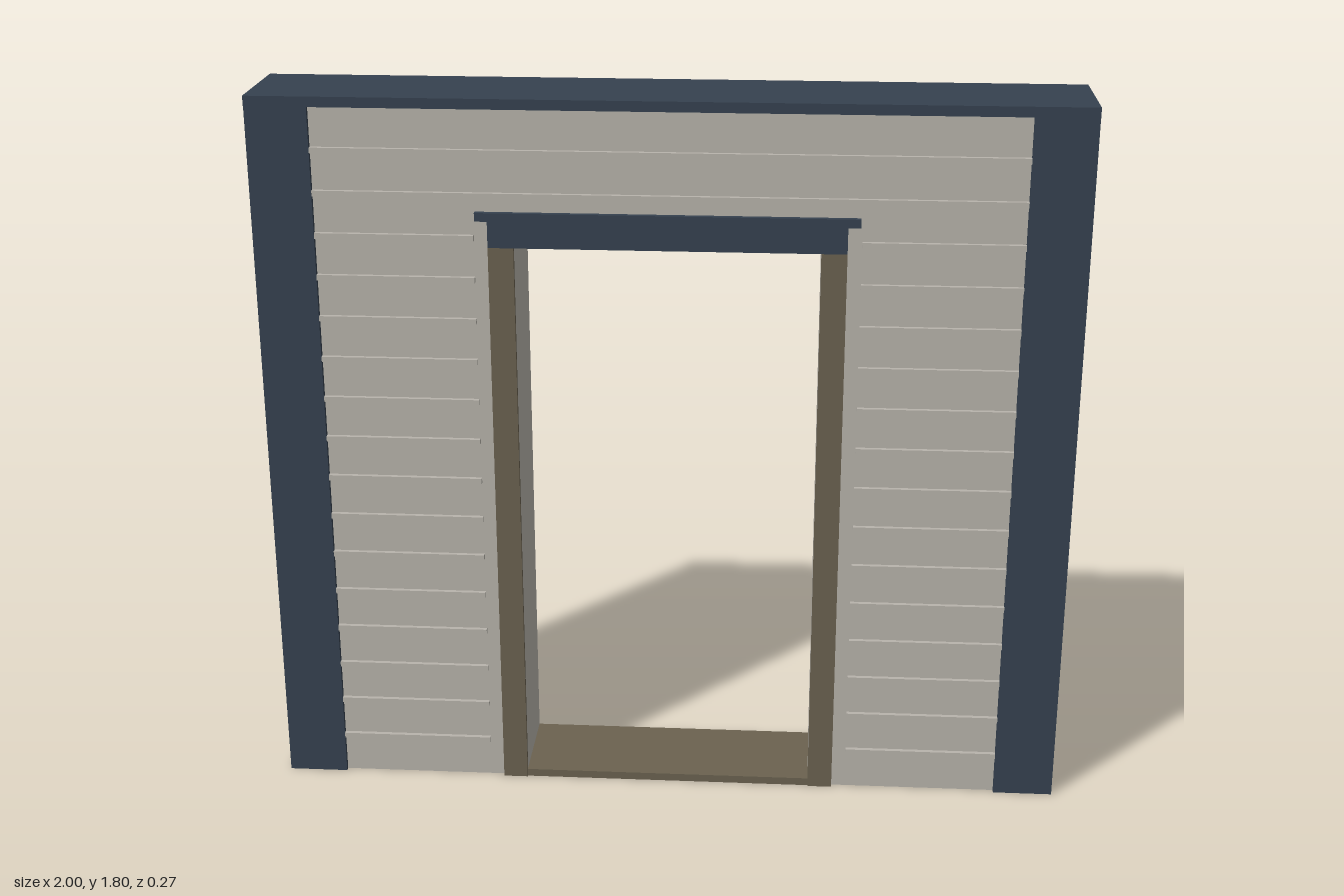
import * as THREE from 'three';

const paint = (name, color) => {
  const m = new THREE.MeshStandardMaterial({ color });
  m.name = name;
  return m;
};

export function createModel() {
  const model = new THREE.Group();
  model.name = 'doorwayWall';
  const plaster = paint('warm grey siding', 0xb8b4ac);
  const trim = paint('slate blue trim', 0x364250);
  const wood = paint('brown wood', 0x6b6250);

  // Box given by its lower and upper limits on each axis
  const box = (name, mat, [x0, x1], [y0, y1], [z0, z1]) => {
    const mesh = new THREE.Mesh(new THREE.BoxGeometry(x1 - x0, y1 - y0, z1 - z0), mat);
    mesh.position.set((x0 + x1) / 2, (y0 + y1) / 2, (z0 + z1) / 2);
    mesh.name = name;
    model.add(mesh);
  };

  const wallZ = 0.12, postZ = 0.132, capZ = 0.134;
  const openX = 0.368, openY = 1.44, wallX = 0.85, wallTop = 1.775;

  // Wall panel with the door opening cut up from its base
  const outline = new THREE.Shape([
    [-wallX, 0], [-openX, 0], [-openX, openY], [openX, openY],
    [openX, 0], [wallX, 0], [wallX, wallTop], [-wallX, wallTop],
  ].map(([x, y]) => new THREE.Vector2(x, y)));
  const panelGeo = new THREE.ExtrudeGeometry(outline, { depth: wallZ * 2, bevelEnabled: false });
  panelGeo.translate(0, 0, -wallZ);
  const panel = new THREE.Mesh(panelGeo, plaster);
  panel.name = 'wallPanel';
  model.add(panel);

  // Top rail across the whole wall
  box('topRail', trim, [-1, 1], [wallTop, 1.8], [-capZ, capZ]);

  for (const s of [-1, 1]) {
    const span = (a, b) => (s > 0 ? [a, b] : [-b, -a]);
    // Corner posts and door jambs
    box('cornerPost', trim, span(wallX, 1), [0, wallTop], [-postZ, postZ]);
    box('doorJamb', wood, span(openX, 0.43), [0, openY], [wallZ - 0.005, postZ]);
  }

  // Siding battens on both faces, broken around the doorway
  const rows = 17, pitch = wallTop / rows, half = 0.007;
  for (const face of [-1, 1]) {
    const z = face > 0 ? [wallZ - 0.002, 0.131] : [-0.131, -wallZ + 0.002];
    for (let i = 1; i < rows; i++) {
      const y = [i * pitch - half, i * pitch + half];
      if (i * pitch > 1.54) {
        box('batten', plaster, [-wallX, wallX], y, z);
      } else {
        box('batten', plaster, [-wallX, -0.464], y, z);
        box('batten', plaster, [0.464, wallX], y, z);
      }
    }
  }

  // Door header, its drip cap and the threshold
  box('doorHeader', trim, [-0.43, 0.43], [openY, 1.505], [wallZ - 0.005, postZ]);
  box('headerCap', trim, [-0.46, 0.46], [1.505, 1.526], [wallZ - 0.005, capZ]);
  box('threshold', wood, [-openX, openX], [0, 0.02], [-wallZ, 0.128]);

  return model;
}
